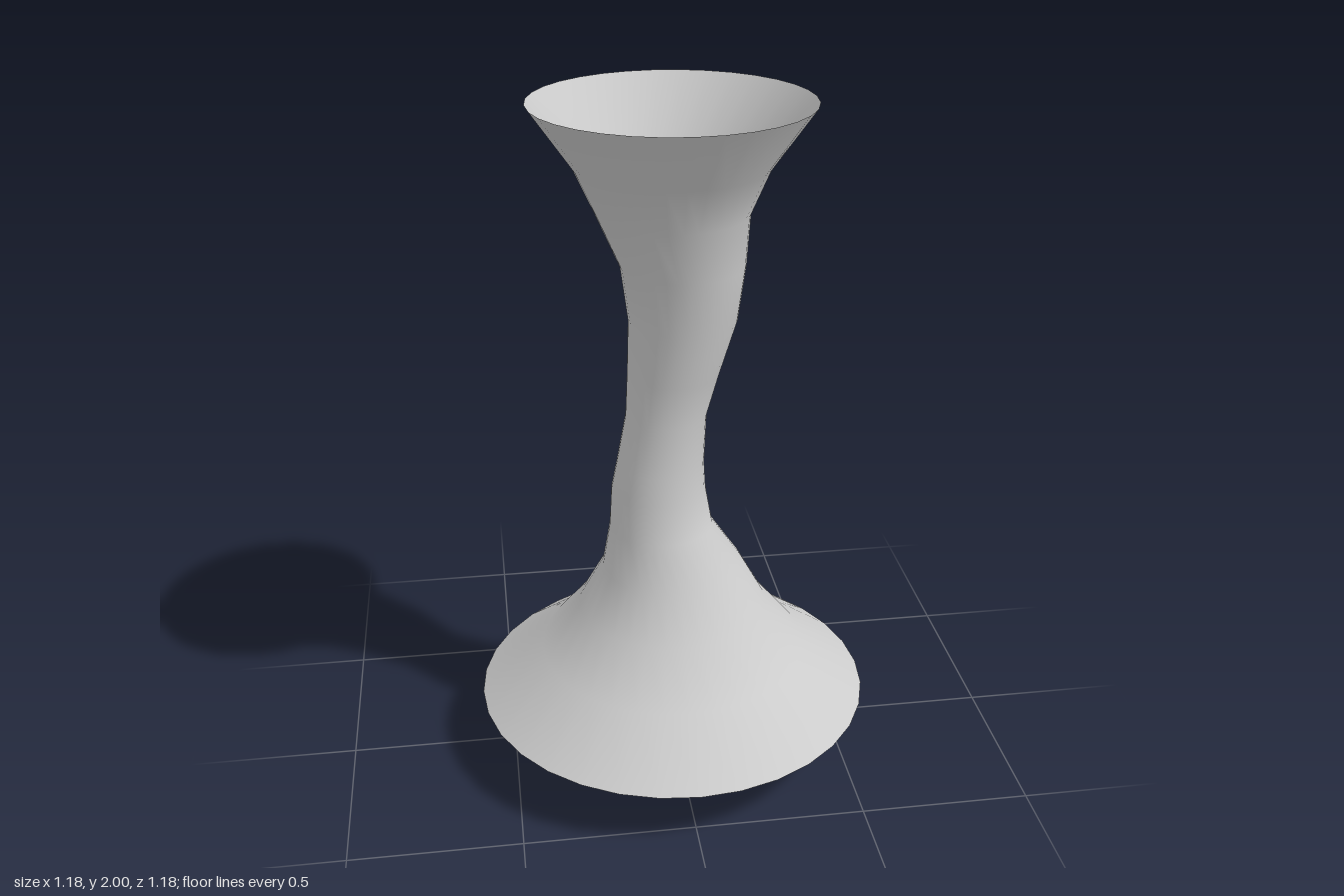
import * as THREE from 'three';
import { mergeVertices } from 'three/addons/utils/BufferGeometryUtils.js';

const material = new THREE.MeshStandardMaterial({ color: 0xcccccc, side: THREE.DoubleSide });
const SIDES = 32;

// Open skin through circular rings, each [height, radius, sideways shift].
function ringSkin(name, rings) {
  const profile = rings.map(([y, r]) => new THREE.Vector2(r, y));
  let geometry = new THREE.LatheGeometry(profile, SIDES);
  const position = geometry.attributes.position;
  for (let i = 0; i < position.count; i++) {
    const shift = rings[i % rings.length][2] ?? 0;
    position.setX(i, position.getX(i) + shift);
  }
  // Weld the seam so the shading runs smoothly all the way round.
  geometry.deleteAttribute('uv');
  geometry.deleteAttribute('normal');
  geometry = mergeVertices(geometry, 1e-4);
  geometry.computeVertexNormals();
  const mesh = new THREE.Mesh(geometry, material);
  mesh.name = name;
  return mesh;
}

export function createModel() {
  const vase = new THREE.Group();
  vase.name = 'vase';

  // Flared skirt, swaying neck and trumpet mouth
  vase.add(ringSkin('body', [
    [0.185, 0.592],
    [0.33, 0.402],
    [0.475, 0.284],
    [0.61, 0.21],
    [0.745, 0.153, -0.034],
    [0.865, 0.139, -0.041],
    [0.95, 0.128, -0.035],
    [1.10, 0.117, -0.018],
    [1.23, 0.132, 0.003],
    [1.39, 0.154, 0.03],
    [1.55, 0.175, 0.03],
    [1.70, 0.212, 0.002],
    [1.83, 0.269],
    [2.0, 0.388],
  ]));

  // Open tapered foot, its top edge turned in under the skirt
  vase.add(ringSkin('foot', [
    [0, 0.36],
    [0.1, 0.473],
    [0.192, 0.577],
    [0.205, 0.56],
  ]));

  return vase;
}
